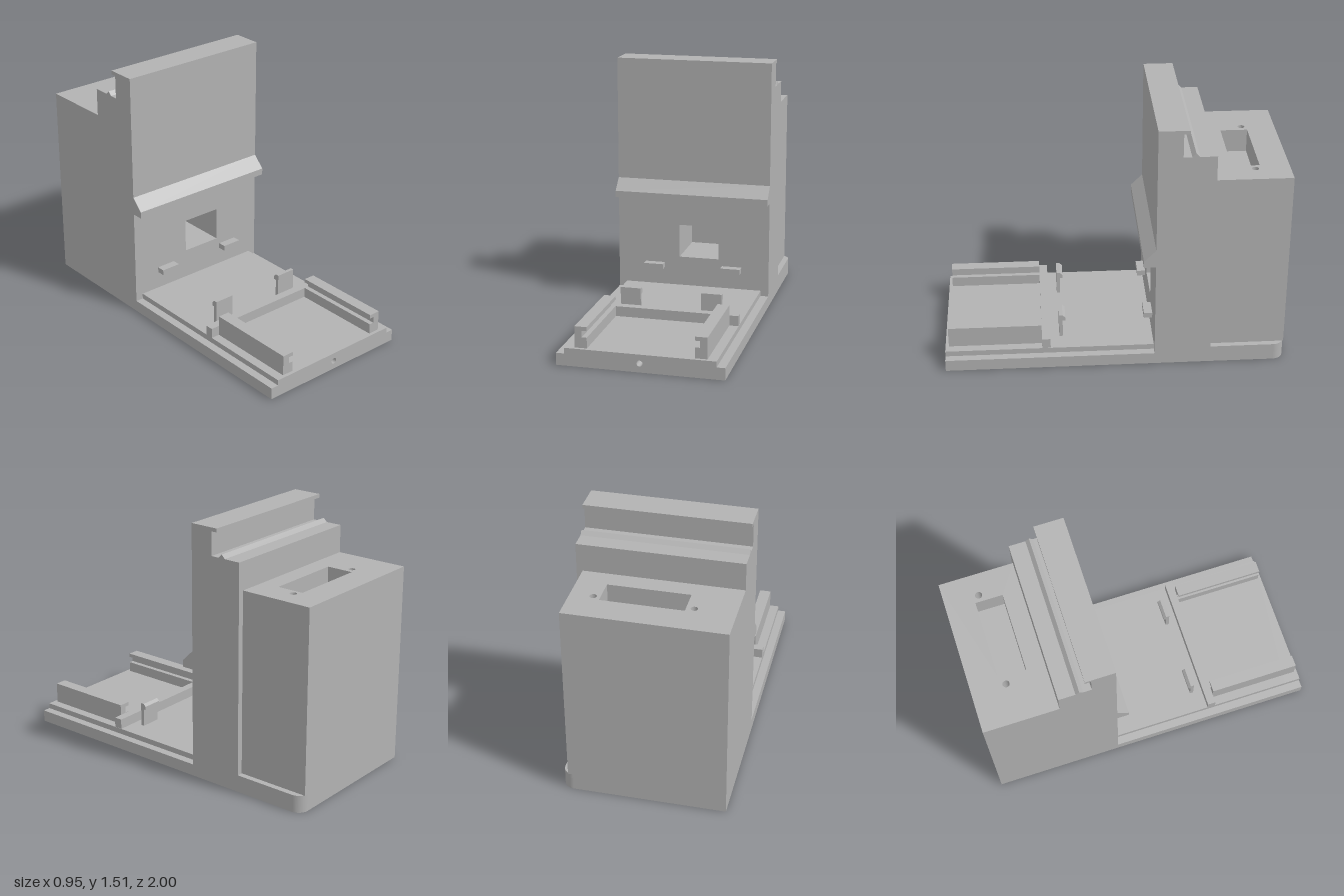
import * as THREE from 'three';

const W = 0.475; // half width of the body

export function createModel() {
  const model = new THREE.Group();
  model.name = 'dockingStand';
  const grey = new THREE.MeshStandardMaterial({ color: 0xb2b2b2 });
  grey.name = 'plainGrey';

  const add = (name, geometry) => {
    const mesh = new THREE.Mesh(geometry, grey);
    mesh.name = name;
    model.add(mesh);
  };
  const box = (name, x0, x1, y0, y1, z0, z1) =>
    add(name, new THREE.BoxGeometry(x1 - x0, y1 - y0, z1 - z0)
      .translate((x0 + x1) / 2, (y0 + y1) / 2, (z0 + z1) / 2));
  const outline = (pts) => new THREE.Shape(pts.map(([a, b]) => new THREE.Vector2(a, b)));
  const rect = (x0, x1, y0, y1) => outline([[x0, y0], [x1, y0], [x1, y1], [x0, y1]]);
  const circle = (x, y, r) => new THREE.Path().absarc(x, y, r, 0, Math.PI * 2, true);
  const extrude = (shape, depth) =>
    new THREE.ExtrudeGeometry(shape, { depth, bevelEnabled: false, curveSegments: 16 });
  // (x, y) shape swept along z
  const alongZ = (name, shape, z0, z1) => add(name, extrude(shape, z1 - z0).translate(0, 0, z0));
  // (z, y) profile swept along x
  const alongX = (name, pts, x0, x1) =>
    add(name, extrude(outline(pts), x1 - x0).rotateY(-Math.PI / 2).translate(x1, 0, 0));
  // (x, -z) shape swept upward
  const alongY = (name, shape, y0, y1) =>
    add(name, extrude(shape, y1 - y0).rotateX(-Math.PI / 2).translate(0, y0, 0));

  // Stepped front base, with a small blind hole in its front edge
  const step = [[-W, 0], [W, 0], [W, 0.07], [0.427, 0.07], [0.427, 0.103],
    [-0.427, 0.103], [-0.427, 0.07], [-W, 0.07]];
  alongZ('frontBase', outline(step), -0.23, 0.9);
  const nose = outline(step);
  nose.holes.push(circle(0, 0.052, 0.017));
  alongZ('frontBaseEdge', nose, 0.9, 1);

  // Rear base with one rounded corner
  const r = 0.065;
  const rear = new THREE.Shape();
  rear.moveTo(-W, 0.23);
  rear.lineTo(W, 0.23);
  rear.lineTo(W, 1 - r);
  rear.absarc(W - r, 1 - r, r, 0, Math.PI / 2, false);
  rear.lineTo(-W, 1);
  alongY('rearBase', rear, 0, 0.103);

  // Upright wall with a square window
  const wall = rect(-W, W, 0.103, 1.355);
  wall.holes.push(rect(-0.087, 0.16, 0.285, 0.49));
  alongZ('uprightWall', wall, -0.56, -0.23);
  alongX('topHook', [[-0.23, 1.355], [-0.23, 1.515], [-0.405, 1.515], [-0.405, 1.493],
    [-0.37, 1.493], [-0.37, 1.355]], -W, W);
  alongX('topRidge', [[-0.418, 1.355], [-0.44, 1.377], [-0.462, 1.355]], -W, W);
  alongX('frontLedge', [[-0.23, 0.66], [-0.16, 0.66], [-0.16, 0.7], [-0.23, 0.77]], -W, W);

  // Rear housing with a pocket and two screw holes in the top
  box('rearHousing', -W, 0.44, 0.103, 1.05, -1, -0.56);
  const top = rect(-W, 0.44, 0.56, 1);
  top.holes.push(rect(-0.2, 0.27, 0.67, 0.83), circle(-0.245, 0.8, 0.02), circle(0.31, 0.8, 0.02));
  alongY('rearHousingTop', top, 1.05, 1.19);

  // Cross bar on the tray
  box('crossBar', -0.427, 0.425, 0.103, 0.163, 0.38, 0.43);

  // Mirrored rails, clips and pegs
  for (const [side, s] of [['left', 1], ['right', -1]]) {
    const rail = [[0.303, 0.103], [0.373, 0.103], [0.373, 0.226], [0.303, 0.226],
      [0.303, 0.203], [0.332, 0.203], [0.332, 0.165], [0.303, 0.165]];
    alongZ(side + 'Rail', outline(rail.map(([x, y]) => [x * s, y])), 0.43, 0.98);
    const x0 = s > 0 ? 0.182 : -0.304;
    alongX(side + 'Clip', [[0.325, 0.103], [0.325, 0.247], [0.304, 0.247], [0.288, 0.232],
      [0.288, 0.21], [0.304, 0.21], [0.304, 0.103]], x0, x0 + 0.122);
    box(side + 'Peg', x0, x0 + 0.122, 0.21, 0.243, -0.24, -0.18);
  }
  return model;
}
